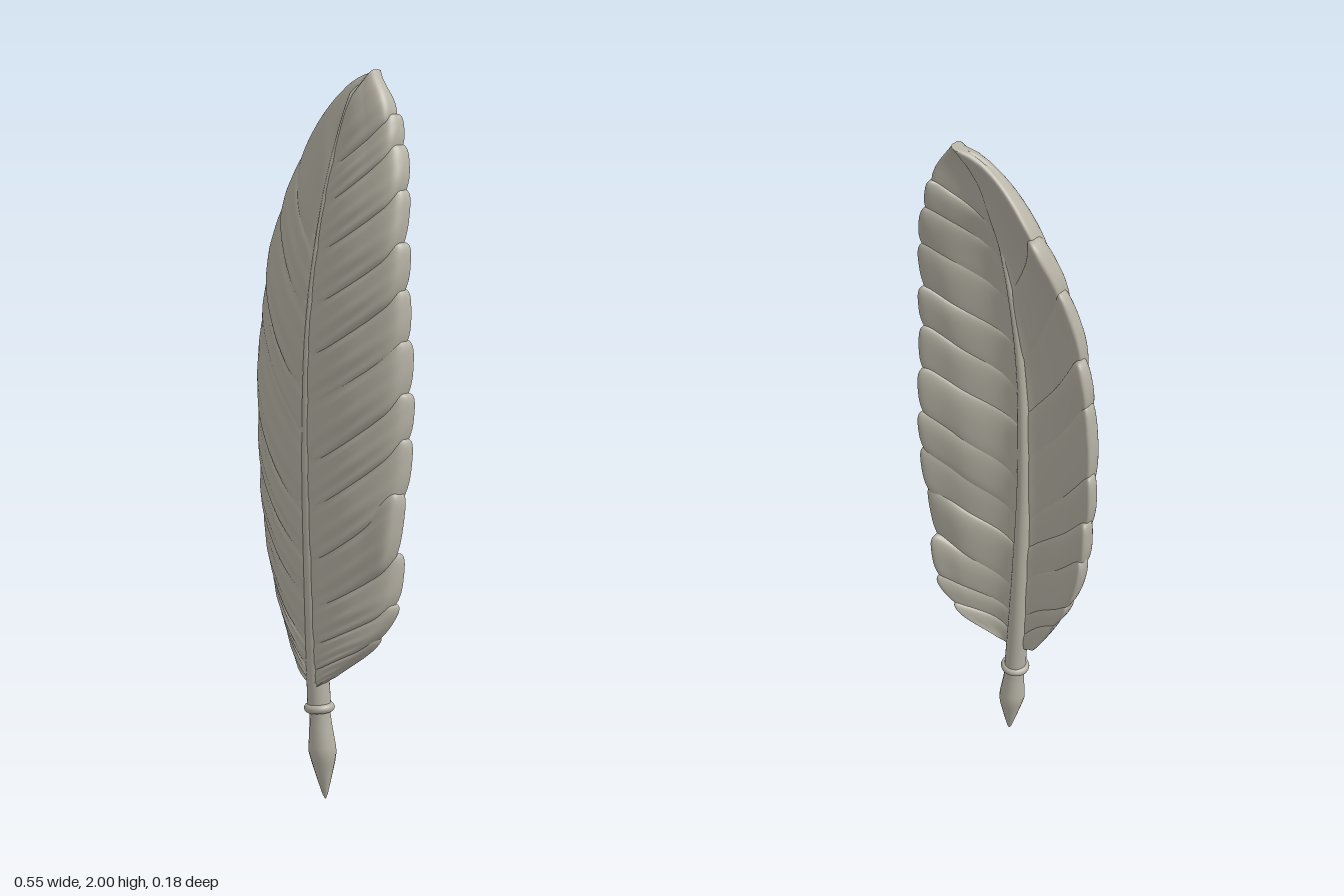
import * as THREE from 'three';

const V = (x, y, z) => new THREE.Vector3(x, y, z);
const { clamp, lerp, smoothstep } = THREE.MathUtils;

// Skin a list of closed rings of points with a smooth surface
function loft(rings, flip = false) {
  const n = rings[0].length, pos = [], idx = [];
  rings.forEach(r => r.forEach(p => pos.push(p.x, p.y, p.z)));
  for (let i = 0; i < rings.length - 1; i++) {
    for (let j = 0; j < n; j++) {
      const a = i * n + j, b = i * n + (j + 1) % n, c = a + n, d = b + n;
      if (flip) idx.push(a, c, b, b, c, d);
      else idx.push(a, b, c, b, d, c);
    }
  }
  const g = new THREE.BufferGeometry();
  g.setAttribute('position', new THREE.Float32BufferAttribute(pos, 3));
  g.setIndex(idx);
  g.computeVertexNormals();
  return g;
}

// Horizontal ellipse used for the shaft and nib
function ellipse(c, rx, rz, n = 24) {
  return Array.from({ length: n }, (_, j) => {
    const a = j / n * Math.PI * 2;
    return V(c.x + rx * Math.sin(a), c.y, c.z + rz * Math.cos(a));
  });
}

// Centre line of the shaft (x against height) and the front depth of the feather
const spine = new THREE.CatmullRomCurve3([
  V(0.02, 0.26, 0), V(0.012, 0.4, 0), V(0, 0.65, 0), V(-0.01, 0.95, 0), V(-0.006, 1.25, 0),
  V(0.01, 1.5, 0), V(0.035, 1.72, 0), V(0.07, 1.9, 0), V(0.09, 1.96, 0),
]).getSpacedPoints(80);
function spineX(y) {
  let i = 0;
  while (i < spine.length - 2 && spine[i + 1].y < y) i++;
  const a = spine[i], b = spine[i + 1];
  return a.x + (b.x - a.x) * (y - a.y) / (b.y - a.y);
}
const frontZ = y => 0.082 - 0.092 * Math.pow(Math.max(0, (y - 1.2) / 0.8), 1.8);

// Each row is one barb: edge x, edge y, root height on the shaft
const rightRows = [
  [-0.06, 0.37, 0.32], [-0.155, 0.54, 0.36], [-0.205, 0.64, 0.44], [-0.25, 0.78, 0.54], [-0.265, 0.93, 0.66],
  [-0.273, 1.1, 0.8], [-0.268, 1.27, 0.94], [-0.252, 1.43, 1.1], [-0.212, 1.57, 1.26], [-0.162, 1.70, 1.42],
  [-0.098, 1.82, 1.58], [-0.015, 1.915, 1.72], [0.06, 1.975, 1.84], [0.12, 2.0, 1.92]];
const leftRows = [
  [0.08, 0.36, 0.31], [0.175, 0.45, 0.36], [0.235, 0.56, 0.44], [0.253, 0.7, 0.54], [0.264, 0.85, 0.66],
  [0.268, 1.0, 0.8], [0.27, 1.14, 0.94], [0.269, 1.28, 1.1], [0.26, 1.43, 1.25], [0.254, 1.56, 1.4],
  [0.243, 1.7, 1.54], [0.21, 1.83, 1.68], [0.18, 1.92, 1.8], [0.12, 2.0, 1.92]];
const rightCuts = [0, 1, 2, 3.3, 4.2, 5.1, 6.4, 7.3, 8.6, 9.7, 13];
const leftCuts = [0, 1.1, 2, 3, 4.1, 5.1, 6, 7, 7.9, 8.8, 9.8, 10.7, 11.5, 13];

let seed = 7;
const rnd = () => (seed = (seed * 16807) % 2147483647) / 2147483647;
const spow = (v, p) => Math.sign(v) * Math.pow(Math.abs(v), p);

// One padded lock of barbs between two cuts along the vane; lift raises its tip forward
function lock(curve, u0, u1, drop, lift, flip) {
  const N = 26, M = 48, rings = [];
  const last = u1 >= 13;
  const reach = last ? 1.01 : 1 + rnd() * 0.035;
  const fat = 0.95 + rnd() * 0.3, lean = rnd() * 0.01;
  const tipStart = last ? 0.92 : 0.8, mid = last ? 0.8 : 0.7;
  for (let i = 0; i <= N; i++) {
    const q = 1 - Math.pow(1 - i / N, 2);
    const e = Math.max(0, (q - tipStart) / (1 - tipStart));
    const w = Math.max(0.002, Math.pow(1 - Math.pow(e, 2.6), 1 / 2.6)); // rounded tip
    const close = i === N ? 0.02 : Math.pow(1 - Math.pow(q, 24), 0.4);  // blunt thick rim
    const ring = [];
    for (let j = 0; j < M; j++) {
      const a = j / M * Math.PI * 2;
      const side = spow(Math.cos(a), 0.75), face = spow(Math.sin(a), 0.45);
      const t = mid + (0.6 + 0.68 * side - mid) * w;
      const u = clamp(u0 + (u1 - u0) * t, 0, 13);
      const b = curve.getPoint(u / 13);
      const rx = spineX(b.z), v = q * reach, k = 2 * v * (1 - v);
      // upper barbs bend upward, the lowest ones splay outward
      const splay = 1 - Math.min(1, u / 3);
      const x = rx + (b.x - rx) * (k * lerp(0.58, 0.4, splay) + v * v);
      const y = b.z + (b.y - b.z) * (k * lerp(0.42, 0.55, splay) + v * v);
      const d = Math.abs(x - spineX(y));
      // crease beside the shaft, edge curling back, thick outer rim
      const ends = smoothstep(y, 1.5, 1.8) + 1 - smoothstep(y, 0.5, 0.85);
      const bowl = 0.016 * Math.exp(-d / 0.03) + drop * Math.pow(d / 0.27, 2.8)
        + (0.02 * ends - lift) * v * v * v;
      const thick = (0.032 + 0.03 * smoothstep(d, 0.04, 0.18) + 0.01 * smoothstep(y, 1.65, 1.85)) * fat;
      const ripple = face > 0 ? 0.0025 * Math.cos(t * 17) * Math.sin(Math.PI * q) : 0;
      const z = frontZ(y) - bowl - ((last ? 0.004 : 0.012) * t + lean) * Math.min(1, v * 1.5)
        - thick * 0.5 * (1 - face * close) + ripple;
      ring.push(V(x, Math.min(y, 2), z));
    }
    rings.push(ring);
  }
  return loft(rings, flip);
}

export function createModel() {
  const model = new THREE.Group();
  model.name = 'quill';
  const stone = new THREE.MeshStandardMaterial({ color: 0xb5b1a4 });
  stone.name = 'warm grey';
  const add = (parent, name, geo) => {
    const m = new THREE.Mesh(geo, stone);
    m.name = name;
    parent.add(m);
    return m;
  };

  // Tapering shaft
  const shaft = spine.map((p, i) => {
    const f = i / (spine.length - 1), end = i === spine.length - 1 ? 0.05 : 1;
    const rx = (0.006 + 0.026 * Math.pow(1 - f, 1.1)) * end;
    const rz = (0.018 + 0.016 * (1 - f)) * end;
    return ellipse(V(p.x, p.y, frontZ(p.y) - 0.039 + 0.008 * f), rx, rz);
  });
  add(model, 'shaft', loft(shaft));

  // Pointed nib, leaning slightly: x, y, radius
  const nib = [[0.037, 0, 0.001], [0.036, 0.012, 0.007], [0.034, 0.05, 0.018], [0.031, 0.11, 0.034], [0.029, 0.135, 0.039],
    [0.028, 0.155, 0.038], [0.024, 0.21, 0.032], [0.021, 0.25, 0.029], [0.02, 0.28, 0.03]];
  add(model, 'nib', loft(nib.map(([x, y, r]) => ellipse(V(x, y, 0.036 + y * 0.025), r, r, 16))));

  // Collar ring
  const collar = add(model, 'collar', new THREE.TorusGeometry(0.03, 0.013, 12, 32));
  collar.rotation.set(Math.PI / 2, 0.08, 0);
  collar.position.set(0.02, 0.262, 0.043);

  // Two vanes of overlapping locks; the right one curls further back
  for (const [name, rows, cuts, drop, lifted, flip] of [
    ['rightVane', rightRows, rightCuts, 0.08, -1, true], ['leftVane', leftRows, leftCuts, 0.07, 3, false]]) {
    const vane = new THREE.Group();
    vane.name = name;
    const curve = new THREE.CatmullRomCurve3(rows.map(r => V(...r)));
    for (let i = 0; i < cuts.length - 1; i++) {
      add(vane, 'barbLock', lock(curve, cuts[i], cuts[i + 1], drop, i === lifted ? 0.03 : 0, flip));
    }
    model.add(vane);
  }
  return model;
}
